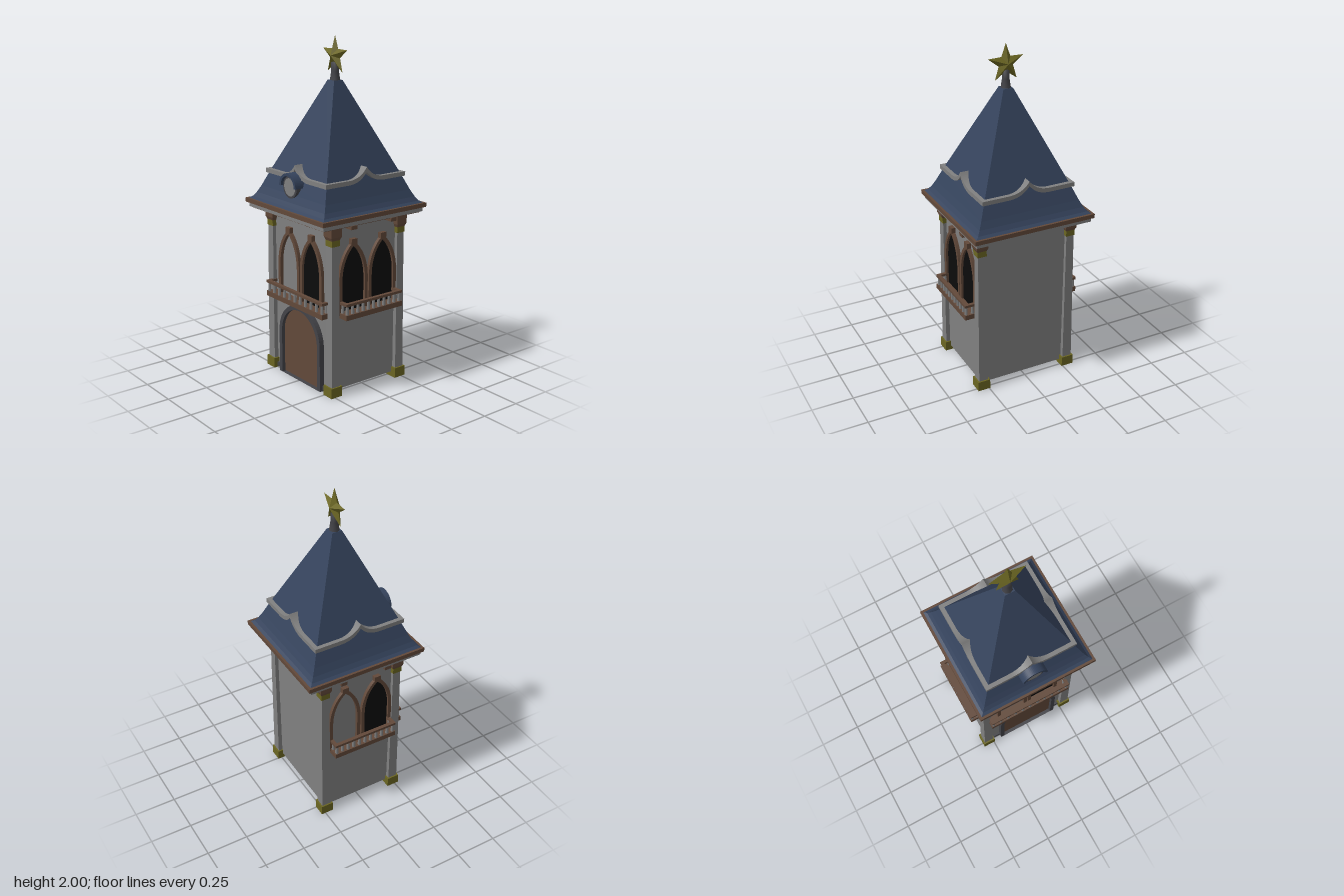
import * as THREE from 'three';

const mat = (name, color) => {
  const m = new THREE.MeshStandardMaterial({ color });
  m.name = name;
  return m;
};

export function createModel() {
  const stone = mat('stone grey', 0x808080);
  const slate = mat('slate blue', 0x35435c);
  const wood = mat('wood brown', 0x62493a);
  const gold = mat('gold', 0x6b6622);
  const iron = mat('dark grey', 0x434348);
  const black = mat('window black', 0x0c0c0c);

  const tower = new THREE.Group();
  tower.name = 'tower';

  const add = (parent, name, geo, material, x = 0, y = 0, z = 0) => {
    const m = new THREE.Mesh(geo, material);
    m.name = name;
    m.position.set(x, y, z);
    parent.add(m);
    return m;
  };
  const box = (parent, name, material, w, h, d, x, y, z) =>
    add(parent, name, new THREE.BoxGeometry(w, h, d), material, x, y, z);
  const flat = (geo) => {
    const g = geo.toNonIndexed();
    g.computeVertexNormals();
    return g;
  };
  // Square lofted solid from [half width, height] pairs, bottom to top
  const square = (pairs) => flat(new THREE.LatheGeometry(
    pairs.map(([r, y]) => new THREE.Vector2(r * Math.SQRT2, y)), 4, Math.PI / 4));
  const extrude = (shape, depth) =>
    new THREE.ExtrudeGeometry(shape, { depth, bevelEnabled: false, curveSegments: 14 });

  // Outline of a pointed arch window
  const pointedArch = (half, bottom, spring, apex) => {
    const s = new THREE.Shape();
    const rise = apex - spring;
    s.moveTo(-half, bottom);
    s.lineTo(half, bottom);
    s.lineTo(half, spring);
    s.bezierCurveTo(half, spring + rise * 0.45, half * 0.6, spring + rise * 0.8, 0, apex);
    s.bezierCurveTo(-half * 0.6, spring + rise * 0.8, -half, spring + rise * 0.45, -half, spring);
    s.closePath();
    return s;
  };
  // Outline of a round-topped door
  const roundArch = (r, bottom, spring) => {
    const s = new THREE.Shape();
    s.moveTo(-r, bottom);
    s.lineTo(r, bottom);
    s.lineTo(r, spring);
    s.absarc(0, spring, r, 0, Math.PI, false);
    s.closePath();
    return s;
  };

  const WX = 0.285, WZ = 0.24;

  // Walls, open at the bottom
  for (const s of [-1, 1]) {
    box(tower, 'sideWall', stone, 0.02, 0.97, WZ * 2, s * (WX - 0.01), 0.515, 0);
    box(tower, s > 0 ? 'frontWall' : 'backWall', stone, WX * 2 - 0.04, 0.97, 0.02, 0, 0.515, s * (WZ - 0.01));
  }

  // Corner columns with feet and capitals
  for (const sx of [-1, 1]) for (const sz of [-1, 1]) {
    const c = new THREE.Group();
    c.name = 'cornerColumn';
    c.position.set(sx * 0.282, 0, sz * 0.237);
    tower.add(c);
    box(c, 'foot', gold, 0.076, 0.06, 0.076, 0, 0.03, 0);
    add(c, 'shaft', square([[0.029, 0.06], [0.024, 0.89]]), stone);
    box(c, 'capitalBand', gold, 0.056, 0.035, 0.056, 0, 0.905, 0);
    add(c, 'capital', square([[0.028, 0.922], [0.035, 0.94], [0.037, 1.0]]), wood);
  }

  // Balcony in local face coordinates
  const balcony = (parent, half, wall, out) => {
    const b = new THREE.Group();
    b.name = 'balcony';
    parent.add(b);
    const depth = out - wall;
    box(b, 'balconyFloor', wood, half * 2, 0.03, depth, 0, 0.48, wall + depth / 2);
    box(b, 'handrail', wood, half * 2, 0.015, 0.022, 0, 0.553, out - 0.011);
    const n = 11;
    for (let i = 0; i < n; i++) {
      const x = (i / (n - 1) * 2 - 1) * (half - 0.014);
      add(b, 'baluster', new THREE.CylinderGeometry(0.008, 0.01, 0.052, 6), stone, x, 0.521, out - 0.012);
    }
    for (const s of [-1, 1]) {
      box(b, 'endRail', wood, 0.02, 0.015, depth - 0.02, s * (half - 0.01), 0.553, wall + (depth - 0.02) / 2);
      add(b, 'endBaluster', new THREE.CylinderGeometry(0.008, 0.01, 0.052, 6), stone, s * (half - 0.014), 0.521, wall + depth * 0.4);
    }
  };

  // Arched windows and eave blocks on each face
  const faces = [
    { name: 'frontFace', turn: 0, wall: WZ, dark: [1], half: 0.27, out: 0.305 },
    { name: 'leftFace', turn: Math.PI / 2, wall: WX, dark: [-1, 1], half: 0.205, out: 0.365 },
    { name: 'rightFace', turn: -Math.PI / 2, wall: WX, dark: [1], half: 0.205, out: 0.365 },
    { name: 'backFace', turn: Math.PI, wall: WZ },
  ];
  for (const f of faces) {
    const g = new THREE.Group();
    g.name = f.name;
    g.rotation.y = f.turn;
    tower.add(g);
    for (const s of [-1, 1]) {
      box(g, 'eaveBlock', wood, 0.04, 0.022, 0.07, s * 0.143, 0.99, f.wall + 0.034);
      if (!f.dark) continue;
      const x = s * 0.106;
      const frame = pointedArch(0.102, 0.48, 0.67, 0.895);
      frame.holes.push(pointedArch(0.081, 0.48, 0.67, 0.87));
      add(g, 'windowFrame', extrude(frame, 0.025), wood, x, 0, f.wall - 0.005);
      box(g, 'keystone', wood, 0.04, 0.035, 0.03, x, 0.893, f.wall + 0.01);
      if (f.dark.includes(s))
        add(g, 'windowPane', extrude(pointedArch(0.082, 0.495, 0.67, 0.872), 0.006), black, x, 0, f.wall);
    }
    if (f.dark) balcony(g, f.half, f.wall - 0.005, f.out);
  }

  // Door, its frame and the base strip
  add(tower, 'door', extrude(roundArch(0.174, 0.005, 0.263), 0.02), wood, 0.005, 0, WZ - 0.01);
  const doorFrame = roundArch(0.198, 0, 0.263);
  doorFrame.holes.push(roundArch(0.172, 0, 0.263));
  add(tower, 'doorFrame', extrude(doorFrame, 0.045), iron, 0.005, 0, WZ - 0.015);
  for (const s of [-1, 1])
    box(tower, 'baseStrip', iron, 0.07, 0.025, 0.025, s * 0.225, 0.02, WZ);

  // Eaves
  box(tower, 'soffit', wood, 0.69, 0.008, 0.69, 0, 1.001, 0);
  box(tower, 'eaveStone', stone, 0.715, 0.027, 0.715, 0, 1.0175, 0);
  box(tower, 'eaveBoard', wood, 0.745, 0.025, 0.745, 0, 1.0425, 0);

  // Flared roof
  add(tower, 'roof', square([
    [0.36, 1.054], [0.342, 1.066], [0.325, 1.09], [0.305, 1.13],
    [0.265, 1.225], [0.03, 1.75], [0, 1.752],
  ]), slate);

  // Stone band with a central cusp on each roof side
  const band = new THREE.Shape();
  band.moveTo(-0.285, 1.21);
  band.lineTo(-0.12, 1.21);
  band.bezierCurveTo(-0.07, 1.212, -0.03, 1.23, 0, 1.272);
  band.bezierCurveTo(0.03, 1.23, 0.07, 1.212, 0.12, 1.21);
  band.lineTo(0.285, 1.21);
  band.lineTo(0.285, 1.235);
  band.lineTo(0.12, 1.235);
  band.bezierCurveTo(0.07, 1.237, 0.03, 1.255, 0, 1.298);
  band.bezierCurveTo(-0.03, 1.255, -0.07, 1.237, -0.12, 1.235);
  band.lineTo(-0.285, 1.235);
  band.closePath();
  for (let i = 0; i < 4; i++) {
    const g = new THREE.Group();
    g.name = 'roofBand';
    g.rotation.y = i * Math.PI / 2;
    add(g, 'roofBandStrip', extrude(band, 0.075), stone, 0, 0, 0.21);
    tower.add(g);
  }

  // Round dormer with a curved hood
  const hood = new THREE.Shape();
  hood.absarc(0, 0, 0.078, 0, Math.PI, false);
  hood.absarc(0, 0, 0.062, Math.PI, 0, true);
  hood.closePath();
  add(tower, 'dormerHood', extrude(hood, 0.115), slate, -0.004, 1.178, 0.22);
  const drum = add(tower, 'dormerDrum', new THREE.CylinderGeometry(0.064, 0.064, 0.1, 24), iron, -0.004, 1.175, 0.267);
  drum.rotation.x = Math.PI / 2;
  add(tower, 'dormerDisc', new THREE.CircleGeometry(0.052, 24), stone, -0.004, 1.175, 0.319);

  // Finial stem
  add(tower, 'finial', new THREE.LatheGeometry([
    [0.034, 1.73], [0.028, 1.76], [0.022, 1.80], [0.022, 1.85], [0, 1.852],
  ].map(([r, y]) => new THREE.Vector2(r, y)), 8), iron);

  // Faceted five-pointed star
  const rim = [];
  for (let i = 0; i < 10; i++) {
    const a = Math.PI / 2 + i * Math.PI / 5;
    const r = i % 2 ? 0.046 : 0.113;
    rim.push([Math.cos(a) * r, Math.sin(a) * r, 0]);
  }
  const pos = [];
  rim.forEach((p, i) => {
    const q = rim[(i + 1) % 10];
    pos.push(...p, ...q, 0, 0, 0.032, ...q, ...p, 0, 0, -0.032);
  });
  const starGeo = new THREE.BufferGeometry();
  starGeo.setAttribute('position', new THREE.Float32BufferAttribute(pos, 3));
  starGeo.computeVertexNormals();
  add(tower, 'star', starGeo, gold, 0, 1.887, 0);

  return tower;
}
